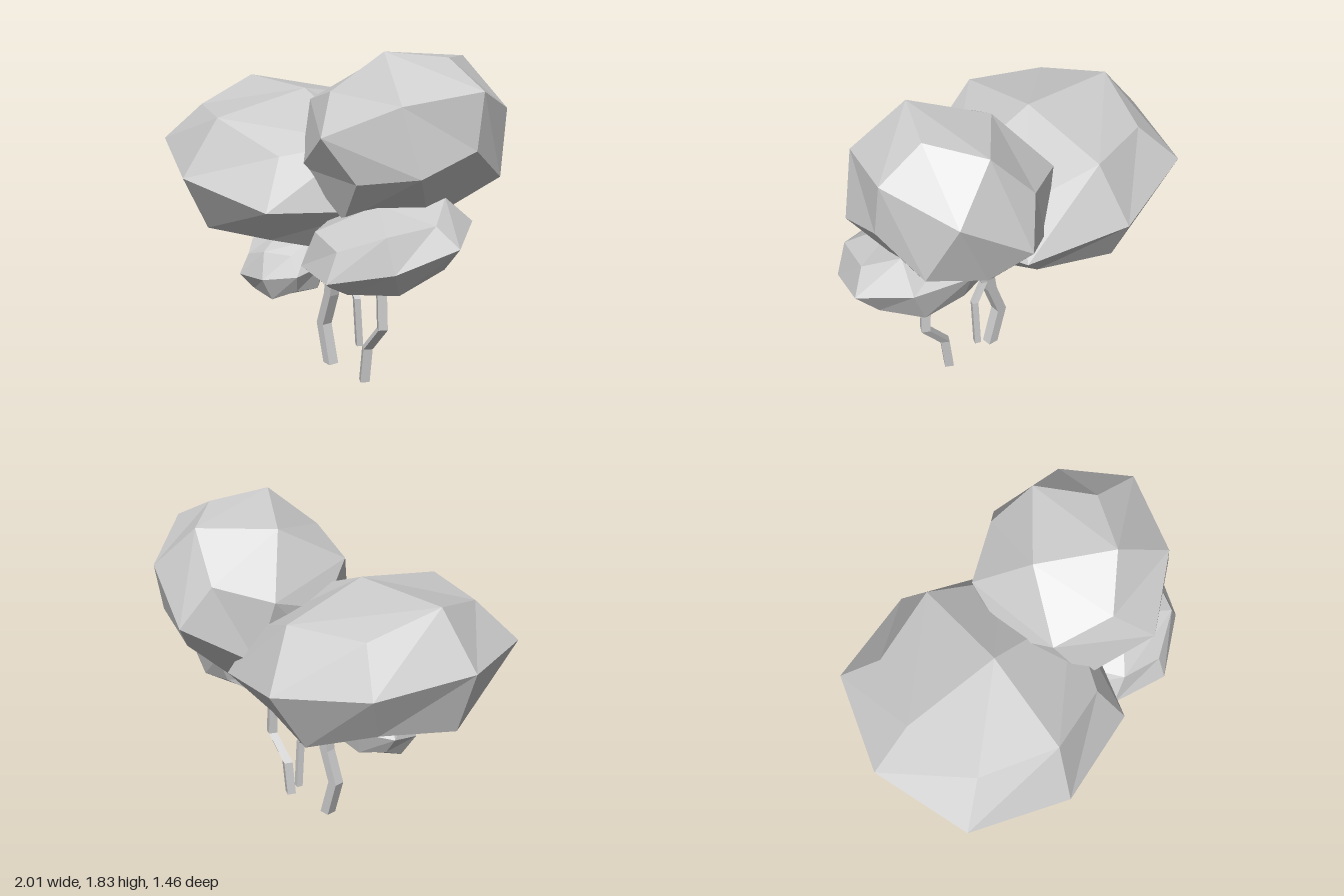
import * as THREE from 'three';

const material = new THREE.MeshStandardMaterial({ color: 0xcccccc, flatShading: true });

// Faceted foliage clump: a 24-quad rounded cube stretched along three axes
function clump(name, center, a, b, c) {
  const geo = new THREE.BoxGeometry(2, 2, 2, 2, 2, 2);
  const pos = geo.attributes.position;
  const v = new THREE.Vector3();
  const m = new THREE.Matrix4().makeBasis(
    new THREE.Vector3(...a), new THREE.Vector3(...b), new THREE.Vector3(...c)
  ).setPosition(...center);
  const rounding = [1, 1, 0.75, 5 / 9]; // face centre, edge middle, corner
  for (let i = 0; i < pos.count; i++) {
    v.fromBufferAttribute(pos, i);
    const k = Math.round(Math.abs(v.x) + Math.abs(v.y) + Math.abs(v.z));
    v.multiplyScalar(rounding[k]).applyMatrix4(m);
    pos.setXYZ(i, v.x, v.y, v.z);
  }
  geo.computeVertexNormals();
  const mesh = new THREE.Mesh(geo, material);
  mesh.name = name;
  return mesh;
}

// Crooked four-sided stem through a list of points, top to bottom
function stem(name, points, width, turn) {
  const n = points.length - 1;
  const r = width / Math.SQRT2;
  const geo = new THREE.CylinderGeometry(r, r, 1, 4, n, false, turn);
  const pos = geo.attributes.position;
  for (let i = 0; i < pos.count; i++) {
    const [x, y, z] = points[Math.round((0.5 - pos.getY(i)) * n)];
    pos.setXYZ(i, pos.getX(i) + x, y, pos.getZ(i) + z);
  }
  geo.computeVertexNormals();
  const mesh = new THREE.Mesh(geo, material);
  mesh.name = name;
  return mesh;
}

export function createModel() {
  const group = new THREE.Group();
  group.name = 'tree';

  // Foliage
  group.add(
    clump('largeFoliage', [-0.29, 1.1, 0.01], [0.71, -0.13, 0], [0.085, 0.425, 0], [-0.01, 0, 0.72]),
    clump('upperFoliage', [0.455, 1.35, -0.16], [-0.245, 0.38, -0.03], [0.375, 0.26, 0.31], [0.285, 0.15, -0.45]),
    clump('lowerFoliage', [0.57, 0.84, 0.035], [0.34, -0.04, 0.205], [0.03, 0.225, 0.08], [-0.25, -0.12, 0.36]),
    clump('smallFoliage', [-0.13, 0.575, 0.2], [0.23, 0.03, -0.1], [-0.02, 0.18, 0.02], [0.08, -0.04, 0.2])
  );

  // Stems
  group.add(
    stem('rightStem', [[0.11, 0.75, 0.02], [0.06, 0.41, 0.02], [-0.01, 0.22, 0.02], [0.055, 0, 0.02]], 0.06, Math.PI / 4),
    stem('middleStem', [[0.19, 0.76, -0.03], [0.145, 0.53, -0.035], [0.215, 0.42, -0.04], [0.215, 0.14, -0.06]], 0.035, 0.45),
    stem('leftStem', [[0.5, 0.72, 0.015], [0.52, 0.35, 0.015], [0.39, 0.2, 0.015], [0.365, 0, 0.015]], 0.05, 0.3)
  );
  return group;
}
